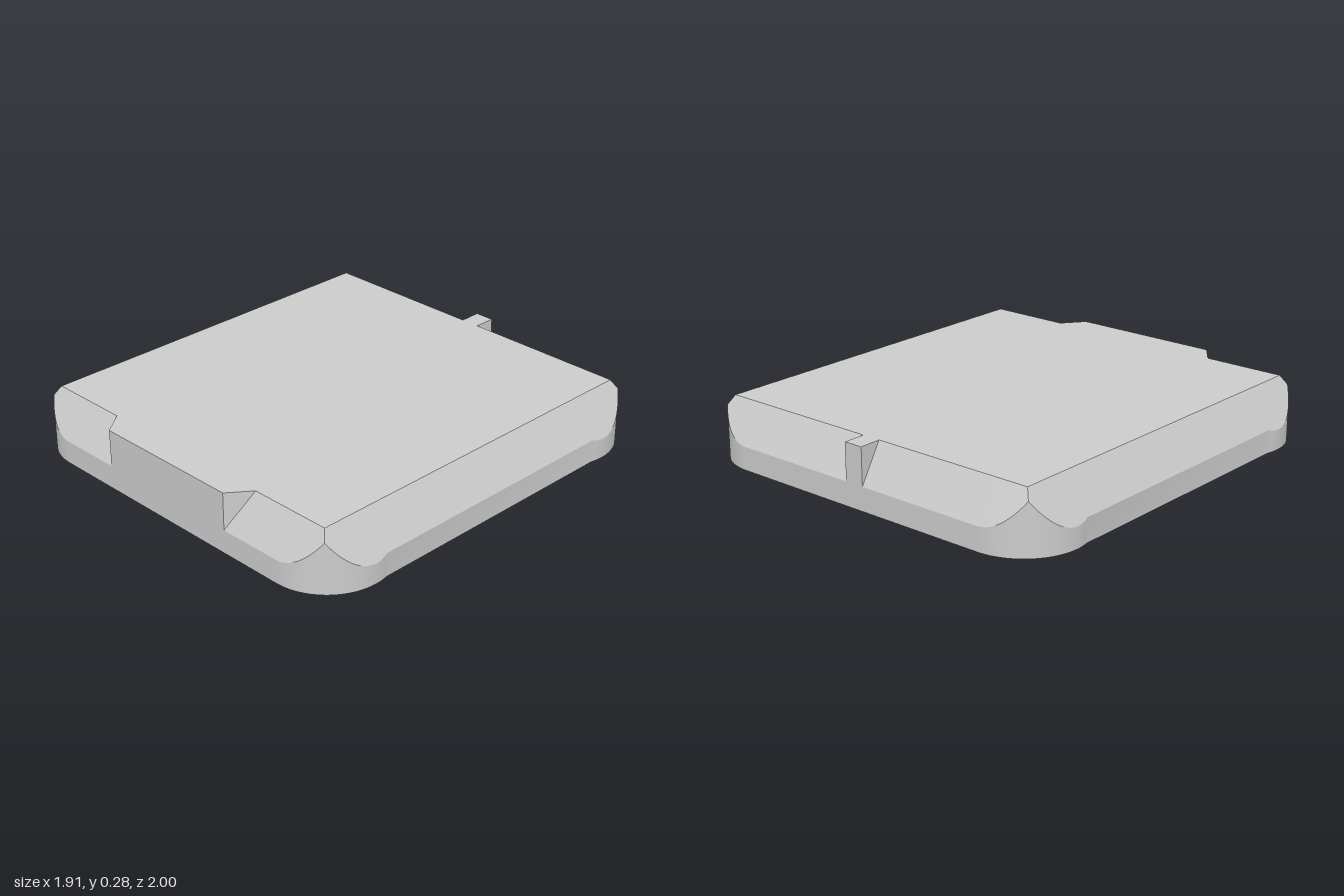
import * as THREE from 'three';
import { toCreasedNormals } from 'three/addons/utils/BufferGeometryUtils.js';

const HX = 0.945, HZ = 1;          // half width and half depth at the straight sides
const TOP = 0.285, RIM = 0.11;     // full height, height where the chamfer starts
const INSET = 0.105;               // horizontal run of the chamfer
const R = 0.28, CX = 0.673, CZ = 0.72; // corner radius and centre
const RECESS_R = 0.76, RECESS_H = 0.14;

const mat = new THREE.MeshStandardMaterial({ color: 0xcccccc });

// Footprint as [x, z] points; the corners bulge slightly past the long sides
function footprint() {
  const start = -Math.acos((HX - CX) / R);
  const ridge = Math.PI / 4 + Math.asin((HZ - HX - CZ + CX) / (R * Math.SQRT2));
  const arc = [];
  for (let i = 0; i <= 32; i++) {
    const a = i <= 18
      ? THREE.MathUtils.lerp(start, ridge, i / 18)
      : THREE.MathUtils.lerp(ridge, Math.PI / 2, (i - 18) / 14);
    arc.push([CX + R * Math.cos(a), CZ + R * Math.sin(a)]);
  }
  const back = arc.slice().reverse();
  return [
    ...arc,
    ...back.map(([x, z]) => [-x, z]),
    ...arc.map(([x, z]) => [-x, -z]),
    ...back.map(([x, z]) => [x, -z]),
  ];
}

// Side walls, sloping chamfers and flat top
function shellGeometry(points) {
  const slope = (TOP - RIM) / INSET, tx = HX - INSET, tz = HZ - INSET;
  const clamp = THREE.MathUtils.clamp;
  const rings = points.map(([x, z]) => {
    const h = Math.min(TOP, RIM + slope * Math.min(HX - Math.abs(x), HZ - Math.abs(z)));
    return [[x, 0, z], [x, h, z], [clamp(x, -tx, tx), TOP, clamp(z, -tz, tz)]];
  });
  const pos = [];
  const tri = (a, b, c) => {
    const [A, B, C] = [a, b, c].map((p) => new THREE.Vector3(...p));
    if (B.sub(A).cross(C.sub(A)).length() > 1e-9) pos.push(...a, ...b, ...c);
  };
  rings.forEach((p, i) => {
    const q = rings[(i + 1) % rings.length];
    for (let k = 0; k < 2; k++) {
      tri(p[k], p[k + 1], q[k]);
      tri(q[k], p[k + 1], q[k + 1]);
    }
  });
  tri([-tx, TOP, -tz], [-tx, TOP, tz], [tx, TOP, tz]);
  tri([-tx, TOP, -tz], [tx, TOP, tz], [tx, TOP, -tz]);
  const geo = new THREE.BufferGeometry();
  geo.setAttribute('position', new THREE.Float32BufferAttribute(pos, 3));
  return toCreasedNormals(geo, 0.35);
}

// Upright prism filling part of a chamfer, from [x, z] corners
function prism(corners) {
  const shape = new THREE.Shape(corners.map(([x, z]) => new THREE.Vector2(x, -z)));
  return new THREE.ExtrudeGeometry(shape, { depth: TOP - RIM, bevelEnabled: false })
    .rotateX(-Math.PI / 2)
    .translate(0, RIM, 0);
}

export function createModel() {
  const group = new THREE.Group();
  const add = (name, geometry, material = mat) => {
    const mesh = new THREE.Mesh(geometry, material);
    mesh.name = name;
    group.add(mesh);
    return mesh;
  };

  const points = footprint();
  add('plateShell', shellGeometry(points));

  // Underside with its round opening
  const base = new THREE.Shape(points.map(([x, z]) => new THREE.Vector2(x, z)));
  const hole = new THREE.Path();
  hole.absarc(0, 0, RECESS_R, 0, Math.PI * 2, true);
  base.holes.push(hole);
  add('underside', new THREE.ShapeGeometry(base, 32).rotateX(Math.PI / 2));

  // Round recess
  const wallMat = mat.clone();
  wallMat.side = THREE.DoubleSide;
  add('recessWall', new THREE.CylinderGeometry(RECESS_R, RECESS_R, RECESS_H, 64, 1, true)
    .translate(0, RECESS_H / 2, 0), wallMat);
  add('recessCeiling', new THREE.CircleGeometry(RECESS_R, 64)
    .rotateX(Math.PI / 2)
    .translate(0, RECESS_H, 0));

  // Wide tapered block at the front, narrow tab at the back
  const inner = HZ - INSET;
  add('frontBlock', prism([[-0.365, HZ], [0.365, HZ], [0.445, inner], [-0.445, inner]]));
  add('backTab', prism([[-0.045, -inner], [0.045, -inner], [0.047, -HZ], [-0.047, -HZ]]));

  return group;
}
